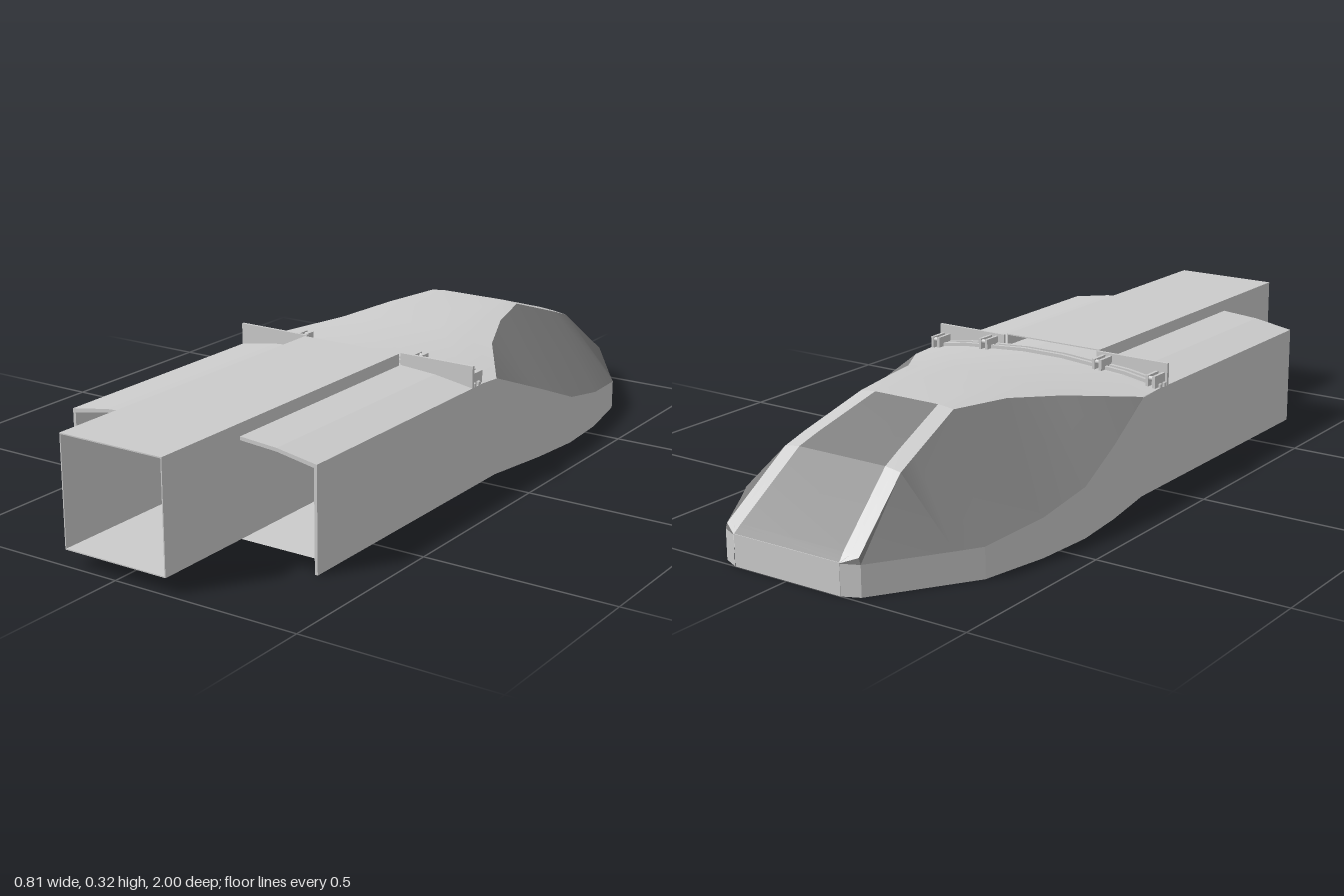
import * as THREE from 'three';
import { toCreasedNormals } from 'three/addons/utils/BufferGeometryUtils.js';

const mat = (color) => new THREE.MeshStandardMaterial({ color, side: THREE.DoubleSide });

// Half cross-sections of the cabin, from z = 0 to the nose:
// hull edge, belt line, window top, roof shoulder, roof centre edge
const stations = [
  { z: 0, w: 0.36, b: 0.265, top: [0.36, 0.265], mid: [0.25, 0.283], crown: [0.06, 0.297] },
  { z: -0.07, w: 0.36, b: 0.26, top: [0.358, 0.262], mid: [0.25, 0.284], crown: [0.06, 0.297] },
  { z: -0.25, w: 0.39, b: 0.19, top: [0.24, 0.29], mid: [0.17, 0.301], crown: [0.075, 0.308] },
  { z: -0.4, w: 0.405, b: 0.13, top: [0.18, 0.31], mid: [0.13, 0.315], crown: [0.085, 0.318] },
  { z: -0.56, w: 0.395, b: 0.1, top: [0.14, 0.315], mid: [0.118, 0.318], crown: [0.095, 0.32] },
  { z: -0.74, w: 0.36, b: 0.078, top: [0.165, 0.255], mid: [0.143, 0.259], crown: [0.12, 0.262] },
  { z: -0.8, w: 0.32, b: 0.077, top: [0.172, 0.233], mid: [0.15, 0.237], crown: [0.128, 0.24] },
  { z: -0.98, w: 0.2, b: 0.077, top: [0.195, 0.092], mid: [0.172, 0.095], crown: [0.152, 0.098] },
  { z: -1, w: 0.157, b: 0.077, top: [0.157, 0.078], mid: [0.156, 0.079], crown: [0.155, 0.08] },
];

// Full section from the right hull foot over the roof to the left hull foot
const section = (s) => {
  const half = [[s.w, 0], [s.w, s.b], s.top, s.mid, s.crown];
  return [...half.map(([x, y]) => [-x, y, s.z]), ...half.reverse().map(([x, y]) => [x, y, s.z])];
};

// Skin between columns c0..c1 of the sections r0..r1
function skin(c0, c1, r0, r1, angle) {
  const rows = stations.slice(r0, r1 + 1).map((s) => section(s).slice(c0, c1 + 1));
  const n = c1 - c0 + 1, index = [];
  for (let r = 0; r < rows.length - 1; r++) {
    for (let c = 0; c < n - 1; c++) {
      const a = r * n + c, d = a + n;
      index.push(a, a + 1, d, a + 1, d + 1, d);
    }
  }
  const g = new THREE.BufferGeometry();
  g.setAttribute('position', new THREE.Float32BufferAttribute(rows.flat(2), 3));
  g.setIndex(index);
  return toCreasedNormals(g, angle);
}

const vecs = (pts) => pts.map(([x, y]) => new THREE.Vector2(x, y));
const mirrored = (pts) => [...pts, ...pts.map(([x, y]) => [-x, y]).reverse()];

// Roof arch outline on the left half, raised by o
const arc = (o = 0, w = 0.36) => [[w, 0.265 + o], [0.25, 0.283 + o], [0.06, 0.297 + o]];

function extrude(points, z0, z1, hole) {
  const shape = new THREE.Shape(vecs(points));
  if (hole) shape.holes.push(new THREE.Path(vecs(hole)));
  return new THREE.ExtrudeGeometry(shape, { depth: z1 - z0, bevelEnabled: false }).translate(0, 0, z0);
}

export function createModel() {
  const model = new THREE.Group();
  const grey = mat(0xcccccc), glass = mat(0x808080), cyan = mat(0x00bcd4);
  const add = (name, geometry, material = grey) => {
    const m = new THREE.Mesh(geometry, material);
    m.name = name;
    model.add(m);
    return m;
  };
  const box = (name, w, h, d, x, y, z) => add(name, new THREE.BoxGeometry(w, h, d).translate(x, y, z));

  // Cabin skin, windows and nose
  const last = stations.length - 1;
  add('rightHullSide', skin(0, 1, 0, last, 0.3));
  add('leftHullSide', skin(8, 9, 0, last, 0.3));
  add('cabinRoof', skin(2, 7, 0, 4, 0.5));
  add('rightPillar', skin(2, 4, 4, last, 0.2));
  add('leftPillar', skin(5, 7, 4, last, 0.2));
  add('rightWindow', skin(1, 2, 1, last, 0.5), glass);
  add('leftWindow', skin(7, 8, 1, last, 0.5), glass);
  add('windscreen', skin(4, 5, 4, last, 0.2), glass);
  box('nosePlate', 0.312, 0.079, 0.006, 0, 0.0395, -0.997);

  // Open bay shell: thin walls and arched roof
  const shell = [
    ...mirrored([[0.36, 0], ...arc()]),
    ...mirrored([[0.352, 0], ...arc(-0.009, 0.352)]).reverse(),
  ];
  add('bayShell', extrude(shell, 0, 0.725));

  // Floor plate following the hull outline
  const plan = mirrored([[0.354, -0.725], ...stations.map((s) => [s.w - 0.004, Math.min(-s.z, 0.994)])]);
  const floor = new THREE.ShapeGeometry(new THREE.Shape(vecs(plan)));
  add('floor', floor.rotateX(-Math.PI / 2).translate(0, 0.04, 0));

  // Bulkhead with an angular doorway and its frame
  const door = mirrored([[0.09, 0.041], [0.09, 0.055], [0.105, 0.083], [0.105, 0.186], [0.053, 0.225]]);
  const frame = mirrored([[0.098, 0.041], [0.098, 0.055], [0.118, 0.083], [0.118, 0.186], [0.06, 0.249]]);
  add('bulkhead', extrude(mirrored([[0.353, 0.04], ...arc(-0.006, 0.353)]), 0.02, 0.03, door));
  add('doorFrame', extrude(frame, 0.03, 0.036, door));

  // Open-ended corridor
  for (const s of [-1, 1]) box('corridorWall', 0.003, 0.28, 0.94, s * 0.1455, 0.182, 0.53);
  box('corridorRoof', 0.294, 0.003, 0.94, 0, 0.3205, 0.53);
  box('corridorFloor', 0.294, 0.003, 0.94, 0, 0.0425, 0.53);

  // Arched rails across the roof, raised end plates and brackets
  for (const z of [0.012, 0.033]) {
    add('roofRail', extrude([...mirrored(arc()), ...mirrored(arc(0.009)).reverse()], z, z + 0.01));
  }
  for (const s of [-1, 1]) {
    const plate = [[0.147, 0.289], [0.25, 0.283], [0.36, 0.265], [0.36, 0.322], [0.147, 0.322]];
    add('endPlate', extrude(plate.map(([x, y]) => [s * x, y]), 0.045, 0.053));
    for (const [x, y] of [[0.34, 0.282], [0.18, 0.3]]) {
      box('railBracket', 0.008, 0.032, 0.05, s * (x - 0.01), y, 0.02);
      box('railBracket', 0.008, 0.032, 0.05, s * (x + 0.01), y, 0.02);
      const pin = new THREE.CylinderGeometry(0.006, 0.006, 0.028, 8).rotateZ(Math.PI / 2);
      add('bracketPin', pin.translate(s * x, y + 0.008, 0.002));
    }
    // Skid rails under the nose
    for (const x of [0.105, 0.155]) box('skidRail', 0.014, 0.018, 0.22, s * x, 0.03, -0.82);
  }

  // Console and two control lights
  box('console', 0.3, 0.07, 0.1, 0, 0.075, -0.87);
  for (const [x, y] of [[-0.035, 0.144], [0.045, 0.158]]) {
    add('controlLight', new THREE.SphereGeometry(0.011, 16, 12).translate(x, y, -0.8), cyan);
  }
  return model;
}
